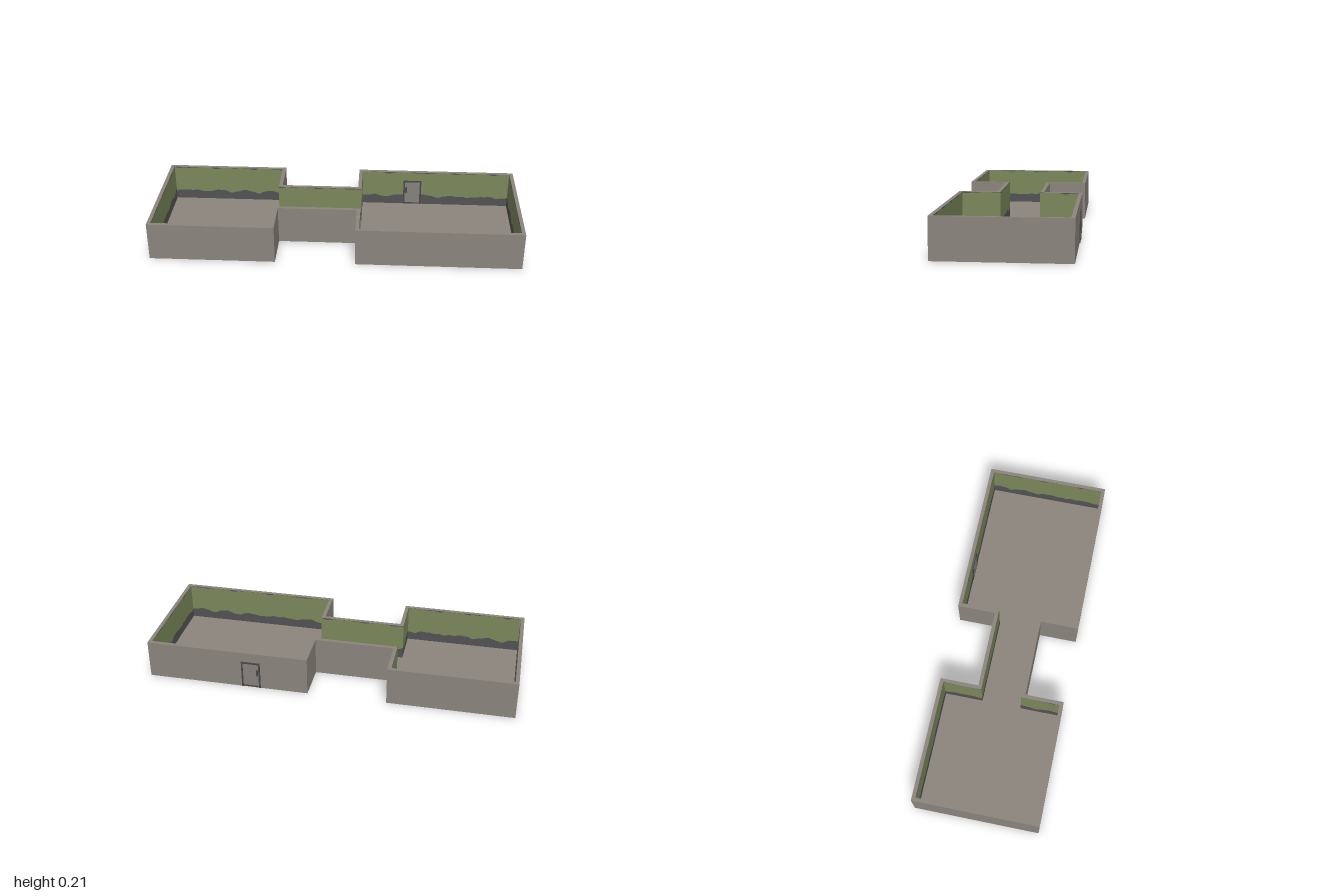
import * as THREE from 'three';

const H = 0.212, FLOOR = 0.004, T = 0.02, ZC = 0.0025;

const mat = (name, color, side = THREE.FrontSide) => {
  const m = new THREE.MeshStandardMaterial({ color, side });
  m.name = name;
  return m;
};

// Plan outline of two rooms joined by a corridor, inset by t, as [x, z]
function plan(t) {
  const l = -1 + t, r = 1 - t, zo = 0.3395 - t, zi = 0.13 - t;
  const c0 = -0.32 - t, c1 = 0.11 + t;
  return [
    [l, -zo], [c0, -zo], [c0, -zi], [c1, -zi], [c1, -zo], [r, -zo],
    [r, zo], [c1, zo], [c1, zi], [c0, zi], [c0, zo], [l, zo],
  ].map(([x, z]) => new THREE.Vector2(x, z + ZC));
}

// Extrude a plan shape upwards between two heights
function slab(shape, y0, y1) {
  const g = new THREE.ExtrudeGeometry(shape, { depth: y1 - y0, bevelEnabled: false });
  return g.rotateX(Math.PI / 2).translate(0, y1, 0);
}

export function createModel() {
  const model = new THREE.Group();
  model.name = 'walledRooms';
  const stone = mat('stone', 0x8b857d);
  const green = mat('greenPaint', 0x7b885b);
  const dark = mat('darkBand', 0x535355);
  const frameMat = mat('doorFrame', 0x4b4947);
  const panelMat = mat('doorPanel', 0x85817d);

  const add = (parent, name, geo, m, x = 0, y = 0, z = 0) => {
    const mesh = new THREE.Mesh(geo, m);
    mesh.name = name;
    mesh.position.set(x, y, z);
    parent.add(mesh);
    return mesh;
  };

  // Floor and outer wall ring
  add(model, 'floor', slab(new THREE.Shape(plan(0)), 0, FLOOR), stone);
  const ring = new THREE.Shape(plan(0));
  ring.holes.push(new THREE.Path(plan(T)));
  add(model, 'walls', slab(ring, FLOOR, H), stone);

  // Painted inner walls: dark base with a ragged edge, green field, worn top edge
  const base = s => {
    const bump = Math.abs(Math.sin(s * 19)) * 0.014;
    return 0.048 + bump + 0.004 * Math.sin(s * 47 + 1) + 0.002 * Math.sin(s * 111);
  };
  const top = s => H - 0.001 - Math.max(0.0005, 0.006 * Math.sin(s * 31) + 0.003 * Math.sin(s * 83));
  const strip = (len, s0, low, high) => {
    const n = Math.max(8, Math.round(len / 0.012));
    const edge = f => Array.from({ length: n + 1 }, (_, i) =>
      new THREE.Vector2(len * i / n, f(s0 + len * i / n)));
    return new THREE.ShapeGeometry(new THREE.Shape([...edge(low), ...edge(high).reverse()]));
  };
  const inner = plan(T + 0.001);
  let s0 = 0;
  inner.forEach((a, i) => {
    const b = inner[(i + 1) % inner.length];
    const len = a.distanceTo(b);
    const wall = new THREE.Group();
    wall.name = 'innerWall' + (i + 1);
    wall.position.set(a.x, 0, a.y);
    wall.rotation.y = Math.atan2(a.y - b.y, b.x - a.x);
    add(wall, 'baseBand', strip(len, s0, () => FLOOR, base), dark);
    add(wall, 'paintedField', strip(len, s0, base, top), green);
    add(wall, 'wornTopEdge', strip(len, s0, top, () => H - 0.0005), dark);
    model.add(wall);
    s0 += len;
  });

  // Door set through the back wall of the larger room
  const door = new THREE.Group();
  door.name = 'door';
  door.position.set(0.422, 0, -0.3275);
  const w = 0.104, dh = 0.157, f = 0.009, depth = 0.029;
  for (const s of [-1, 1]) {
    add(door, 'framePost', new THREE.BoxGeometry(f, dh - 0.001, depth), frameMat,
      s * (w - f) / 2, dh / 2 + 0.0005, 0);
  }
  add(door, 'frameLintel', new THREE.BoxGeometry(w - 2 * f, f, depth), frameMat, 0, dh - f / 2, 0);
  add(door, 'doorLeaf', new THREE.BoxGeometry(w - 2 * f, dh - f - 0.002, depth - 0.004), panelMat,
    0, (dh - f) / 2 + 0.001, 0);
  for (const s of [-1, 1]) {
    add(door, 'kickPlate', new THREE.BoxGeometry(w - 2 * f, 0.008, 0.001), frameMat,
      0, 0.009, s * (depth / 2 - 0.0015));
    add(door, 'handlePlate', new THREE.BoxGeometry(0.01, 0.04, 0.0015), frameMat,
      -0.036, 0.095, s * (depth / 2 - 0.001));
  }
  model.add(door);
  return model;
}
